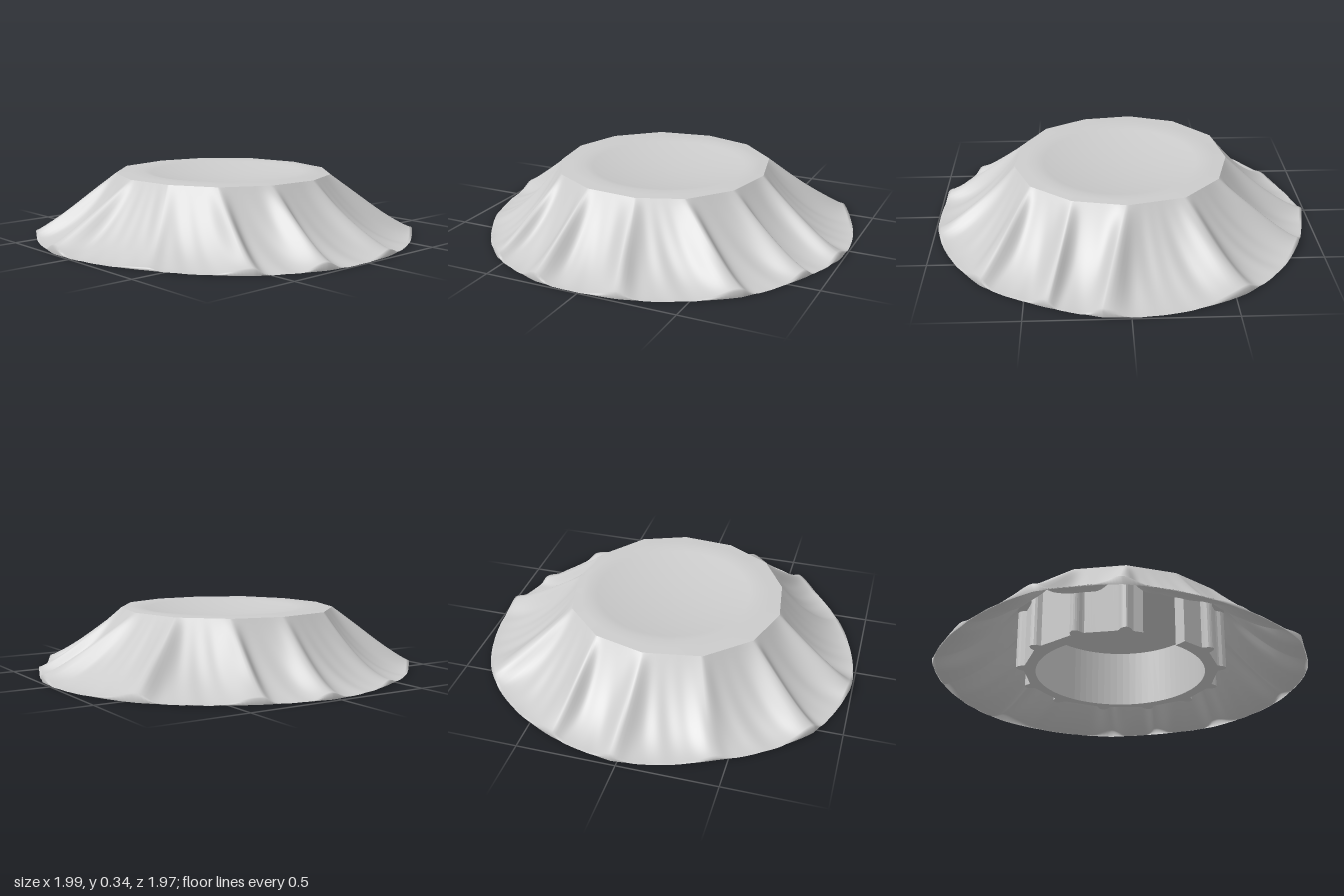
import * as THREE from 'three';

const TOP = 0.34;
const RIM = 0.334;
const PER = 30;   // columns between neighbouring folds
const ROWS = 28;  // rows down the skirt

// Each fold: rim point x, z; hem point x, z; strength
const folds = [
  [0.53, 0.0, 0.99, 0.13, 1.0],
  [0.475, 0.27, 0.9, 0.39, 0.9],
  [0.31, 0.48, 0.7, 0.72, 1.0],
  [0.08, 0.57, 0.19, 0.98, 0.8],
  [-0.19, 0.55, -0.25, 0.975, 1.0],
  [-0.42, 0.42, -0.57, 0.82, 0.9],
  [-0.55, 0.2, -0.86, 0.42, 0.35],
  [-0.585, -0.06, -0.995, -0.15, 1.1],
  [-0.5, -0.31, -0.86, -0.53, 1.1],
  [-0.29, -0.5, -0.45, -0.84, 0.5],
  [0.0, -0.55, 0.03, -0.98, 0.8],
  [0.26, -0.48, 0.36, -0.9, 0.9],
  [0.46, -0.29, 0.82, -0.56, 1.0],
];
const COLS = folds.length * PER;
const lerp = THREE.MathUtils.lerp;

// Closed surface made of rings of points; point(i, j) returns [x, y, z]
function ringSurface(rows, point) {
  const pos = [], index = [];
  for (let i = 0; i <= rows; i++)
    for (let j = 0; j < COLS; j++) pos.push(...point(i, j));
  for (let i = 0; i < rows; i++)
    for (let j = 0; j < COLS; j++) {
      const k = (j + 1) % COLS;
      const a = i * COLS + j, b = i * COLS + k, c = a + COLS, d = b + COLS;
      index.push(a, b, c, b, d, c);
    }
  const g = new THREE.BufferGeometry();
  g.setAttribute('position', new THREE.Float32BufferAttribute(pos, 3));
  g.setIndex(index);
  g.computeVertexNormals();
  return g;
}

// Rim point, hem point, fold weight and distance to the nearest fold for one column
function column(j) {
  const s = Math.floor(j / PER), u = (j % PER) / PER;
  const A = folds[s], B = folds[(s + 1) % folds.length];
  const a0 = Math.atan2(A[3], A[2]);
  let a1 = Math.atan2(B[3], B[2]);
  if (a1 < a0) a1 += Math.PI * 2;
  const a = lerp(a0, a1, u);
  const r = lerp(Math.hypot(A[2], A[3]), Math.hypot(B[2], B[3]), u) - 0.008 * Math.sin(Math.PI * u);
  // folds fall steeply on one side and gently on the other
  const w = A[4] * Math.exp(-((u / 0.22) ** 2)) + B[4] * Math.exp(-(((1 - u) / 0.12) ** 2));
  const gap = Math.min(u, 1 - u) * Math.hypot(A[0] - B[0], A[1] - B[1]);
  return { rim: [lerp(A[0], B[0], u), lerp(A[1], B[1], u)], hem: [r * Math.cos(a), r * Math.sin(a)], a, w, gap };
}

// Draped skirt, sagging between the folds; a last row closes the raised fold ends to the floor
function skirtGeometry() {
  return ringSurface(ROWS + 1, (i, j) => {
    const { rim, hem, a, w } = column(j);
    if (i > ROWS) return [hem[0] * 0.995, 0, hem[1] * 0.995];
    const t = i / ROWS;
    const swell = Math.sin(Math.PI * Math.min(1, t * 0.85));
    const crease = 0.004 * swell * Math.sin(a * 37 + t * 5) * Math.sin(a * 11 + 2);
    const y = RIM * Math.pow(1 - t, 1.85 - 0.62 * w) + w * (0.022 * swell + 0.025 * t * t) + crease;
    const twist = 0.03 * (w - 0.4) * t * (1 - t); // folds curl sideways halfway down
    const x = lerp(rim[0], hem[0], t), z = lerp(rim[1], hem[1], t);
    return [x - z * twist, Math.max(0, y), z + x * twist];
  });
}

// Rim sloping gently away from a round, shallow dish
function topGeometry() {
  const dishRows = 10;
  return ringSurface(dishRows + 2, (i, j) => {
    const { rim } = column(j);
    const cx = 0.0, cz = 0.015, R = 0.45;
    const a = Math.atan2(rim[1] - cz, rim[0] - cx);
    if (i >= dishRows) {
      const k = (i - dishRows) / 2;
      return [lerp(cx + R * Math.cos(a), rim[0], k), lerp(TOP, RIM, k), lerp(cz + R * Math.sin(a), rim[1], k)];
    }
    const q = i / dishRows;
    return [cx + R * q * Math.cos(a), TOP - 0.05 * (1 - q * q), cz + R * q * Math.sin(a)];
  });
}

// Open ring under the cloth, with a rounded rib below each fold
function supportGeometry() {
  const start = THREE.MathUtils.degToRad(176), end = THREE.MathUtils.degToRad(512);
  const ribR = 0.036;
  const outer = [];
  for (let j = 0; j < COLS; j++) {
    const { rim, gap } = column(j);
    let a = Math.atan2(rim[1], rim[0]);
    while (a < start) a += Math.PI * 2;
    if (a > end) continue;
    const rib = gap < ribR ? Math.sqrt(ribR ** 2 - gap * gap) : 0;
    outer.push({ a, r: Math.hypot(...rim) - 0.042 + rib });
  }
  outer.sort((p, q) => p.a - q.a);
  const pts = outer.map(({ a, r }) => new THREE.Vector2(r * Math.cos(a), r * Math.sin(a)));
  const m = 72;
  for (let i = m; i >= 0; i--) {
    const a = lerp(start, end, i / m);
    pts.push(new THREE.Vector2(-0.015 + 0.45 * Math.cos(a), 0.01 + 0.45 * Math.sin(a)));
  }
  const g = new THREE.ExtrudeGeometry(new THREE.Shape(pts), { depth: 0.32, bevelEnabled: false });
  g.rotateX(Math.PI / 2);
  g.translate(0, 0.32, 0);
  return g;
}

export function createModel() {
  const group = new THREE.Group();
  group.name = 'drapedStand';
  const cloth = new THREE.MeshStandardMaterial({ color: 0xcccccc, side: THREE.DoubleSide });
  const solid = new THREE.MeshStandardMaterial({ color: 0xcccccc });
  const add = (name, geometry, material) => {
    const mesh = new THREE.Mesh(geometry, material);
    mesh.name = name;
    group.add(mesh);
  };
  add('clothSkirt', skirtGeometry(), cloth);
  add('clothTop', topGeometry(), cloth);
  add('supportRing', supportGeometry(), solid);
  return group;
}
